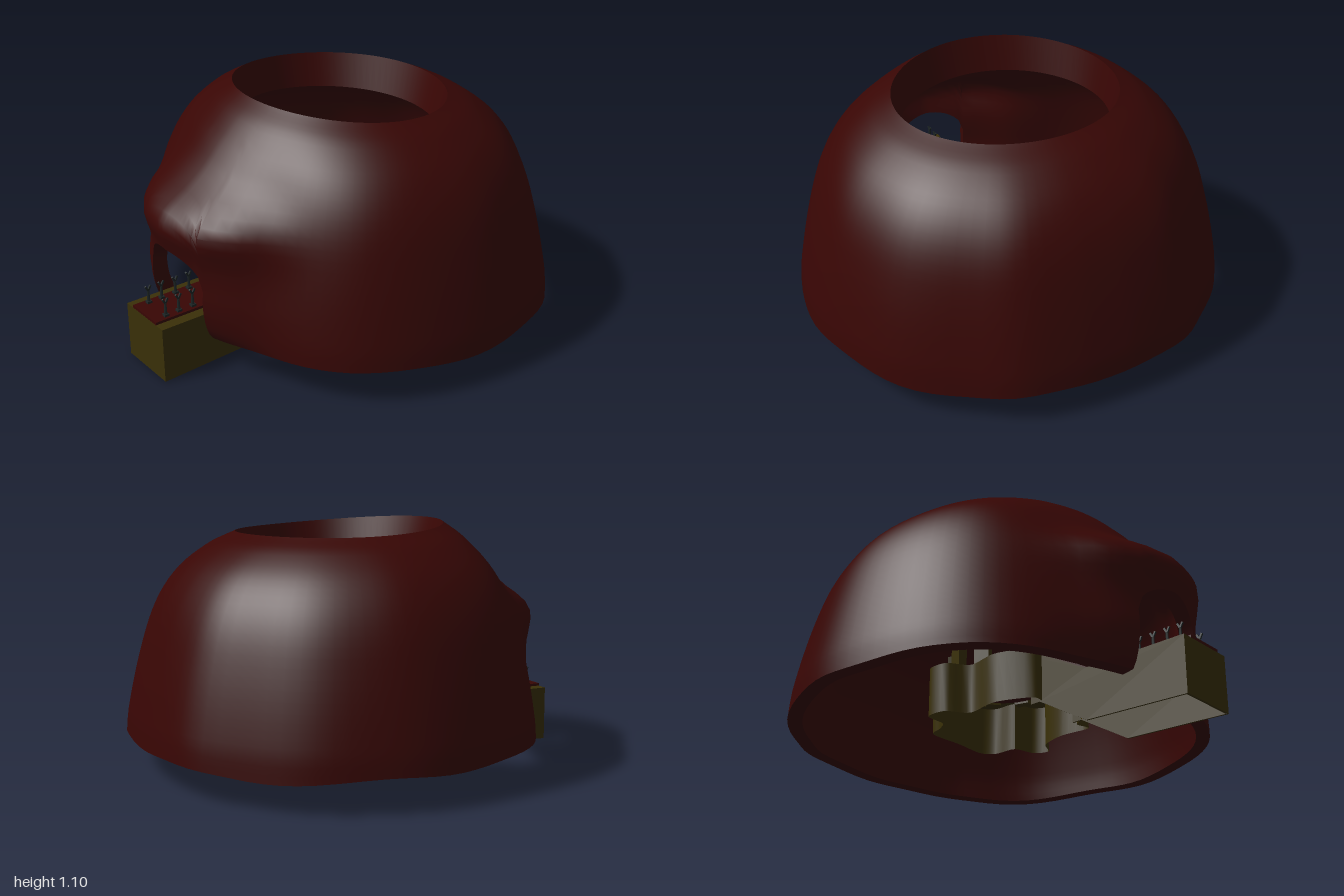
import * as THREE from 'three';
import { toCreasedNormals } from 'three/addons/utils/BufferGeometryUtils.js';

const mat = (color) => new THREE.MeshStandardMaterial({ color, side: THREE.DoubleSide });
const red = mat(0x380604), olive = mat(0x3a3008), dark = mat(0x1e2626);

// Smooth interpolation through [x, value] pairs
function sample(table, x) {
  const n = table.length - 1;
  if (x <= table[0][0]) return table[0][1];
  if (x >= table[n][0]) return table[n][1];
  let i = 0;
  while (x > table[i + 1][0]) i++;
  const slope = (k) => {
    const a = table[Math.max(k - 1, 0)], b = table[Math.min(k + 1, n)];
    return (b[1] - a[1]) / (b[0] - a[0]);
  };
  const [x0, v0] = table[i], [x1, v1] = table[i + 1], h = x1 - x0, t = (x - x0) / h;
  const t2 = t * t, t3 = t2 * t;
  return (2 * t3 - 3 * t2 + 1) * v0 + (t3 - 2 * t2 + t) * h * slope(i)
    + (3 * t2 - 2 * t3) * v1 + (t3 - t2) * h * slope(i + 1);
}

// Base radius and foot height by angle from the front, wall profile by height, hood bulge
const BASE = [[0, 0.8], [20, 0.79], [31, 0.805], [48, 0.88], [60, 0.92], [85, 0.96], [100, 0.99],
  [112, 1], [127, 1.02], [144, 1.012], [156, 1.033], [168, 1.012], [180, 1]];
const FOOT = [[0, 0.15], [30, 0.155], [72, 0.155], [90, 0.14], [108, 0.15], [135, 0.122], [160, 0.145], [180, 0.135]];
const WALL = [[0.12, 1], [0.25, 0.975], [0.54, 0.845], [0.75, 0.7], [0.9, 0.5], [1.01, 0.23], [1.067, 0]];
const HOOD_Y = [[0.14, 0], [0.19, 0.042], [0.31, 0.09], [0.42, 0.106], [0.48, 0.117], [0.54, 0.14], [0.6, 0.174],
  [0.65, 0.19], [0.71, 0.165], [0.77, 0.09], [0.84, 0.03], [0.95, 0]];
const HOOD_A = [[0, 1], [13, 0.9], [23, 0.66], [32, 0.33], [43, 0.07], [54, 0]];
const TOP = 1.067, DOOR = 0.235, SPRING = 0.4;

// Point of the shell at an angle and height
function shellPoint(phi, y, inner) {
  const deg = Math.abs(THREE.MathUtils.radToDeg(phi));
  const w = sample(WALL, y), s = Math.sin(phi), c = Math.cos(phi);
  const base = sample(BASE, deg);
  const thickness = THREE.MathUtils.lerp(0.05 - 0.02 * s * s, 0.065, w);
  const off = sample(HOOD_Y, y) * sample(HOOD_A, deg) - (inner ? thickness : 0);
  return [
    (1 - w) * 0.51 * s + w * base * s + off * s,
    y + (1 - w) * (0.025 * c + 0.008 * Math.cos(2 * phi) - (inner ? 0.16 : 0)),
    (1 - w) * (-0.06 + 0.46 * c) + w * base * c + off * c,
  ];
}

function domeGeometry() {
  const low = 8, rows = 32, doorCols = 16, wallCols = 84, cols = doorCols + wallCols;
  const verts = [], index = [];
  // Door columns come first, then the wall goes round the back to close the loop
  for (let i = 0; i < cols; i++) {
    const isDoor = i > 0 && i < doorCols;
    let phi = i <= doorCols ? -DOOR + 2 * DOOR * i / doorCols
      : DOOR + (2 * Math.PI - 2 * DOOR) * (i - doorCols) / wallCols;
    if (phi > Math.PI) phi -= 2 * Math.PI;
    const start = isDoor ? SPRING + 0.13 * Math.sqrt(1 - (phi / DOOR) ** 2) : SPRING;
    const foot = sample(FOOT, Math.abs(THREE.MathUtils.radToDeg(phi)));
    for (const inner of [false, true]) {
      for (let j = 0; j <= rows; j++) {
        const y = j < low ? THREE.MathUtils.lerp(foot, SPRING, j / low)
          : start + (TOP - start) * Math.sin((j - low) / (rows - low) * Math.PI / 2);
        verts.push(...shellPoint(phi, y, inner));
      }
    }
  }
  const id = (i, j, inner) => ((i % cols) * 2 + inner) * (rows + 1) + j;
  const quad = (a, b, c, d) => index.push(a, b, d, b, c, d);
  for (let i = 0; i < cols; i++) {
    const first = i < doorCols ? low : 0, k = i + 1;
    for (let j = first; j < rows; j++) {
      quad(id(i, j, 0), id(k, j, 0), id(k, j + 1, 0), id(i, j + 1, 0));
      quad(id(k, j, 1), id(i, j, 1), id(i, j + 1, 1), id(k, j + 1, 1));
    }
    quad(id(i, rows, 0), id(k, rows, 0), id(k, rows, 1), id(i, rows, 1));
    quad(id(i, first, 1), id(k, first, 1), id(k, first, 0), id(i, first, 0));
  }
  // Door jambs
  for (let j = 0; j < low; j++) {
    quad(id(0, j, 1), id(0, j, 0), id(0, j + 1, 0), id(0, j + 1, 1));
    quad(id(doorCols, j, 0), id(doorCols, j, 1), id(doorCols, j + 1, 1), id(doorCols, j + 1, 0));
  }
  const g = new THREE.BufferGeometry();
  g.setAttribute('position', new THREE.Float32BufferAttribute(verts, 3));
  g.setIndex(index);
  return toCreasedNormals(g, 0.9);
}

// Side profile of [z, y] points, extruded across x from x0 to x1
function acrossX(points, x0, x1) {
  const shape = new THREE.Shape(points.map(([z, y]) => new THREE.Vector2(z, y)));
  return new THREE.ExtrudeGeometry(shape, { depth: x1 - x0, bevelEnabled: false })
    .rotateY(-Math.PI / 2).translate(x1, 0, 0);
}

// Thin upright wall that follows plan points (x, -z) between two heights
function uprightWall(points, y0, y1) {
  const verts = [], index = [];
  points.forEach((p, i) => {
    verts.push(p.x, y0, -p.y, p.x, y1, -p.y);
    const a = 2 * i;
    if (i < points.length - 1) index.push(a, a + 2, a + 1, a + 2, a + 3, a + 1);
  });
  const g = new THREE.BufferGeometry();
  g.setAttribute('position', new THREE.Float32BufferAttribute(verts, 3));
  g.setIndex(index);
  return toCreasedNormals(g, 0.6);
}

export function createModel() {
  const model = new THREE.Group();
  const add = (name, geo, material, x = 0, y = 0, z = 0, parent = model) => {
    const m = new THREE.Mesh(geo, material);
    m.name = name;
    m.position.set(x, y, z);
    parent.add(m);
    return m;
  };

  add('domeShell', domeGeometry(), red);

  // Ramp: thin side walls, a front end, a floor slab and a red deck, open underneath
  const side = [[1, 0], [0.5, 0.02], [0.25, 0.17], [0.2, 0.17], [0.2, 0.395], [0.25, 0.395], [0.5, 0.255], [1, 0.255]];
  for (const x of [-0.145, 0.137]) add('rampSide', acrossX(side, x, x + 0.008), olive);
  add('rampFront', new THREE.BoxGeometry(0.274, 0.254, 0.01), olive, 0, 0.128, 0.995);
  add('rampFloor', acrossX([[0.99, 0.235], [0.5, 0.235], [0.25, 0.375], [0.1, 0.375],
    [0.1, 0.395], [0.25, 0.395], [0.5, 0.255], [0.99, 0.255]], -0.137, 0.137), olive);
  add('rampDeck', acrossX([[1, 0.256], [0.5, 0.256], [0.25, 0.396], [0.02, 0.396],
    [0.02, 0.41], [0.25, 0.41], [0.5, 0.268], [1, 0.268]], -0.095, 0.095), red);

  // Platform: an uneven rock ledge round a red disc, hollow underneath
  const outline = [[0.13, 0.26], [0.17, 0.2], [0.24, 0.21], [0.23, 0.06], [0.27, -0.07], [0.35, -0.12],
    [0.32, -0.19], [0.22, -0.22], [0.21, -0.33], [0.15, -0.38], [0, -0.37], [-0.17, -0.37], [-0.2, -0.3],
    [-0.24, -0.24], [-0.34, -0.23], [-0.34, -0.13], [-0.25, -0.06], [-0.27, 0.1], [-0.2, 0.26], [-0.13, 0.26]]
    .map(([x, z]) => new THREE.Vector3(x, -z, 0));
  const rim = new THREE.CatmullRomCurve3(outline, false, 'catmullrom', 0.4).getPoints(90)
    .map((p) => new THREE.Vector2(p.x, p.y));
  const ledge = new THREE.Shape(rim);
  // The hole follows the disc and runs out along the ramp
  const hole = new THREE.Path();
  hole.moveTo(0.095, -0.24);
  hole.lineTo(0.095, -0.087);
  hole.absarc(0, 0.1, 0.21, -1.1, Math.PI + 1.1, false);
  hole.lineTo(-0.095, -0.24);
  hole.closePath();
  ledge.holes.push(hole);
  add('platformLedge', new THREE.ShapeGeometry(ledge, 24).rotateX(-Math.PI / 2), olive, 0, 0.4, 0);
  add('platformWall', uprightWall(rim, 0.17, 0.4), olive);
  add('platformDisc', new THREE.CylinderGeometry(0.212, 0.212, 0.02, 36), red, 0, 0.4, -0.1);

  // Pillars with small caps round the back and sides of the disc
  for (let i = -3; i <= 3; i++) {
    const a = Math.PI + i * 0.64;
    const pillar = add('pillar', new THREE.BoxGeometry(0.07, 0.15, 0.04), olive,
      0.23 * Math.sin(a), 0.455, -0.1 + 0.23 * Math.cos(a));
    pillar.rotation.y = a;
    add('pillarCap', new THREE.BoxGeometry(0.04, 0.012, 0.03), dark, 0, 0.078, 0, pillar);
  }

  // Small forked posts in pairs along the ramp
  const post = (x, y, z, footWidth) => {
    const g = new THREE.Group();
    g.name = 'forkedPost';
    g.position.set(x, y, z);
    add('postStem', new THREE.CylinderGeometry(0.006, 0.008, 0.06, 6), dark, 0, 0.03, 0, g);
    for (const s of [-1, 1]) {
      const prong = add('postProng', new THREE.BoxGeometry(0.008, 0.028, 0.008), dark, 0, 0.07, s * 0.006, g);
      prong.rotation.x = s * 0.5;
    }
    add('postFoot', new THREE.BoxGeometry(footWidth, 0.012, footWidth), dark, 0, 0.004, 0, g);
    model.add(g);
  };
  for (const s of [-1, 1]) {
    for (const z of [0.935, 0.87, 0.8, 0.73]) post(s * 0.07, 0.268, z, 0.022);
    for (const z of [0.16, 0.26]) post(s * 0.11, 0.405, z, 0.038);
  }
  return model;
}
